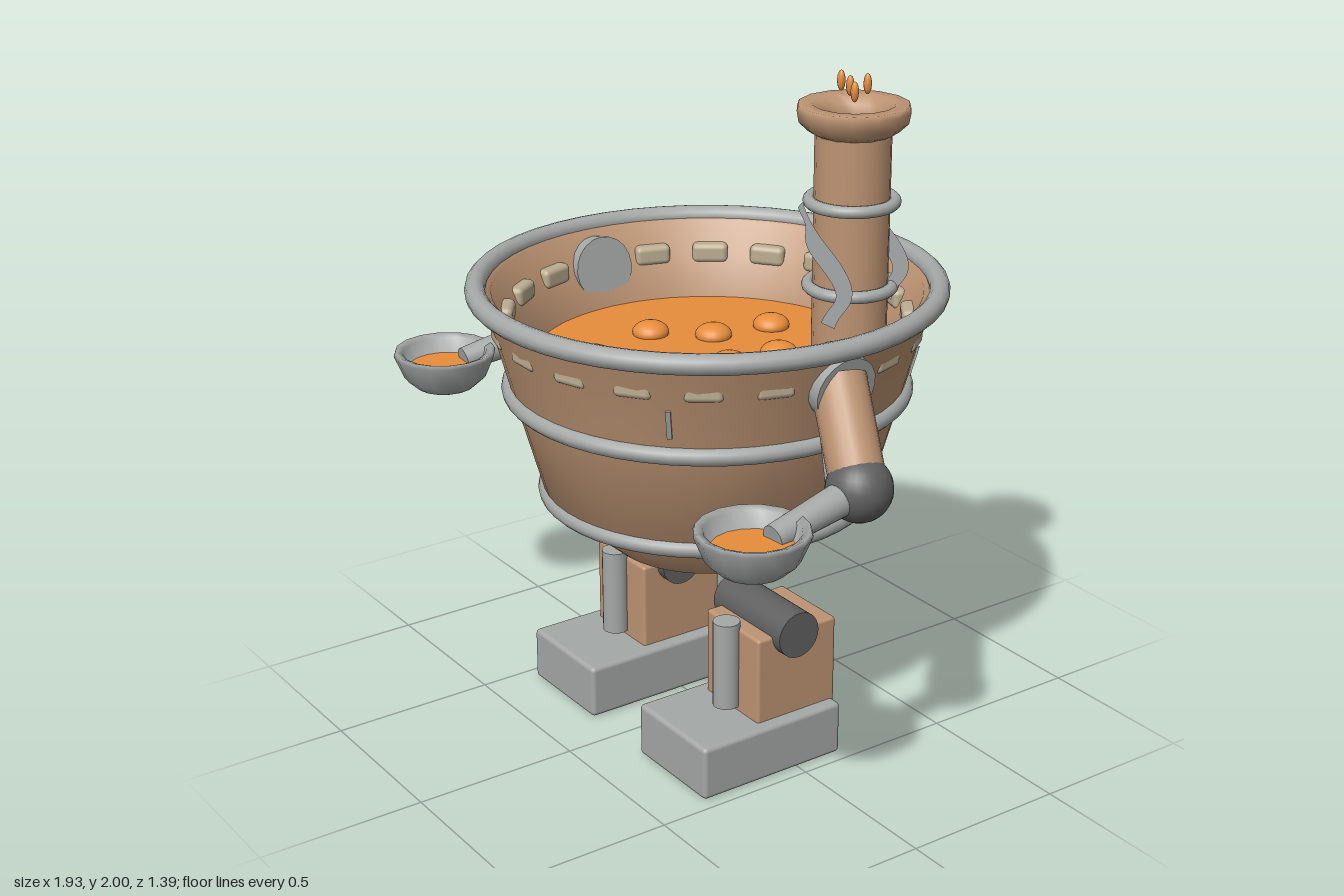
import * as THREE from 'three';
import { RoundedBoxGeometry } from 'three/addons/geometries/RoundedBoxGeometry.js';

const paint = (name, color, side = THREE.FrontSide) => {
  const m = new THREE.MeshStandardMaterial({ color, side });
  m.name = name;
  return m;
};
const V = (x, y, z) => new THREE.Vector3(x, y, z);

export function createModel() {
  const root = new THREE.Group();
  root.name = 'walkingCauldron';
  const clay = paint('clay brown', 0xbd9473);
  const metal = paint('metal grey', 0xa4a8a6);
  const dark = paint('dark joint grey', 0x606060);
  const soup = paint('soup orange', 0xe88e3d);
  const rivet = paint('rivet beige', 0xbcae92);
  const steam = paint('steam grey', 0xaaaeae, THREE.DoubleSide);

  const add = (parent, name, geo, mat, x = 0, y = 0, z = 0) => {
    const mesh = new THREE.Mesh(geo, mat);
    mesh.name = name;
    mesh.position.set(x, y, z);
    parent.add(mesh);
    return mesh;
  };
  const lathe = (pts, seg) => new THREE.LatheGeometry(pts.map(p => new THREE.Vector2(p[0], p[1])), seg);
  const ring = (parent, name, r, tube, y) => {
    const m = add(parent, name, new THREE.TorusGeometry(r, tube, 12, 48), metal, 0, y, 0);
    m.rotation.x = Math.PI / 2;
  };
  const disc = (parent, name, r, seg, y) => {
    const m = add(parent, name, new THREE.CircleGeometry(r, seg), soup, 0, y, 0);
    m.rotation.x = -Math.PI / 2;
  };
  // Cylinder running from point a to point b
  const rod = (parent, name, a, b, ra, rb, mat) => {
    const d = b.clone().sub(a);
    const m = add(parent, name, new THREE.CylinderGeometry(rb, ra, d.length(), 20), mat);
    m.position.copy(a).addScaledVector(d, 0.5);
    m.quaternion.setFromUnitVectors(V(0, 1, 0), d.normalize());
  };

  // Bowl: outer wall, inner wall and the open underside
  const bowl = new THREE.Group();
  bowl.name = 'bowl';
  root.add(bowl);
  add(bowl, 'bowlOuterWall', lathe([[0.29, 0.585], [0.48, 0.75], [0.57, 1.07], [0.61, 1.22], [0.66, 1.37]], 48), clay);
  add(bowl, 'bowlInnerWall', lathe([[0.66, 1.37], [0.62, 1.365], [0.575, 1.265], [0.505, 1.15], [0.43, 0.8], [0.22, 0.6]], 48), clay);
  add(bowl, 'bowlFoot', lathe([[0.22, 0.6], [0.22, 0.585], [0.29, 0.585]], 48), clay);
  ring(bowl, 'rimRing', 0.665, 0.03, 1.37);
  ring(bowl, 'middleRing', 0.573, 0.026, 1.07);
  ring(bowl, 'lowerRing', 0.474, 0.026, 0.75);

  // Studs piercing the wall under the rim, mostly showing inside
  for (let i = 0; i < 20; i++) {
    const a = (i / 20) * Math.PI * 2;
    const stud = add(bowl, 'wallStud', new RoundedBoxGeometry(0.11, 0.06, 0.07, 2, 0.016), rivet,
      Math.sin(a) * 0.592, 1.274, Math.cos(a) * 0.592);
    stud.rotation.y = a;
  }
  // Slim seams on the wall
  for (let i = 0; i < 4; i++) {
    const a = Math.PI / 4 + (i * Math.PI) / 2;
    const seam = add(bowl, 'wallSeam', new THREE.BoxGeometry(0.014, 0.09, 0.01), metal,
      Math.sin(a) * 0.598, 1.17, Math.cos(a) * 0.598);
    seam.rotation.set(0.26, a, 0, 'YXZ');
  }

  // Soup with bubbles
  disc(bowl, 'soupSurface', 0.508, 32, 1.153);
  const bubbles = [[-0.08, -0.29], [-0.11, -0.1], [-0.235, 0.04], [0.125, -0.165], [0.335, -0.125],
    [0.11, 0], [0.015, 0.17], [-0.155, 0.29], [0.22, 0.14]];
  bubbles.forEach(([x, z], i) => {
    const b = add(bowl, 'soupBubble', new THREE.SphereGeometry(0.055, 20, 12), soup, x, i === 8 ? 1.132 : 1.16, z);
    b.scale.y = 0.6;
  });

  // Chimney with flared mouth and sparks
  const chimney = new THREE.Group();
  chimney.name = 'chimney';
  chimney.position.set(0.245, 0, -0.327);
  root.add(chimney);
  add(chimney, 'chimneyPipe', new THREE.CylinderGeometry(0.109, 0.109, 0.76, 20, 1, true), clay, 0, 1.48, 0);
  add(chimney, 'chimneyMouth', lathe([[0.108, 1.815], [0.13, 1.826], [0.157, 1.852], [0.163, 1.885],
    [0.158, 1.9], [0.118, 1.9], [0.085, 1.875], [0.075, 1.84], [0.075, 1.7]], 14), clay);
  disc(chimney, 'chimneyGlow', 0.076, 16, 1.75);
  ring(chimney, 'chimneyUpperRing', 0.122, 0.018, 1.62);
  ring(chimney, 'chimneyLowerRing', 0.122, 0.018, 1.37);
  [[-0.023, 1.945, -0.003], [0.01, 1.935, 0.007], [0.035, 1.96, -0.018], [-0.007, 1.97, 0.042]].forEach(p => {
    add(chimney, 'spark', new THREE.SphereGeometry(0.012, 8, 6), soup, ...p).scale.y = 2.5;
  });

  // Curling steam ribbons, flat
  const curl = new THREE.Shape();
  curl.moveTo(0, 0.3);
  curl.bezierCurveTo(0.06, 0.2, 0.17, 0.2, 0.22, 0.12);
  curl.bezierCurveTo(0.24, 0.06, 0.17, 0.04, 0.15, -0.02);
  curl.lineTo(0.09, -0.02);
  curl.bezierCurveTo(0.12, 0.04, 0.18, 0.06, 0.14, 0.1);
  curl.bezierCurveTo(0.08, 0.15, 0.0, 0.16, 0.015, 0.22);
  curl.bezierCurveTo(0.02, 0.25, -0.01, 0.26, -0.02, 0.28);
  curl.closePath();
  const curlGeo = new THREE.ShapeGeometry(curl, 10);
  add(root, 'steamRibbon', curlGeo, steam, 0.39, 1.4, -0.04);
  add(root, 'steamRibbon', curlGeo, steam, 0.18, 1.35, -0.41);

  // Arms and legs, mirrored
  for (const s of [1, -1]) {
    const side = s > 0 ? 'left' : 'right';
    const arm = new THREE.Group();
    arm.name = side + 'Arm';
    root.add(arm);
    rod(arm, 'shoulderPlate', V(s * 0.545, 1.264, 0), V(s * 0.648, 1.244, 0), 0.098, 0.098, metal);
    const elbow = V(s * 0.78, 1.02, 0.055);
    rod(arm, 'upperArm', V(s * 0.61, 1.27, 0), elbow, 0.078, 0.078, clay);
    rod(arm, 'armPiston', V(s * 0.61, 1.21, 0.05), V(s * 0.7, 1.01, 0.085), 0.018, 0.018, metal);
    add(arm, 'elbow', new THREE.SphereGeometry(0.093, 24, 16), dark, ...elbow.toArray());
    rod(arm, 'forearm', elbow, V(s * 0.805, 0.965, 0.36), 0.05, 0.037, metal);
    const ladle = new THREE.Group();
    ladle.name = 'ladle';
    ladle.position.set(s * 0.807, 0, 0.425);
    arm.add(ladle);
    add(ladle, 'ladleCup', lathe([[0, 0.885], [0.09, 0.895], [0.128, 0.93], [0.157, 1.0], [0.152, 1.013],
      [0.13, 1.005], [0.105, 0.94], [0, 0.93]], 16), metal);
    disc(ladle, 'ladleSoup', 0.114, 16, 0.96);

    const leg = new THREE.Group();
    leg.name = side + 'Leg';
    leg.position.x = s * 0.295;
    root.add(leg);
    add(leg, 'foot', new RoundedBoxGeometry(0.335, 0.165, 0.49, 2, 0.014), metal, 0, 0.0825, 0.09);
    add(leg, 'shin', new RoundedBoxGeometry(0.258, 0.3, 0.28, 2, 0.01), clay, 0, 0.28, -0.02);
    add(leg, 'piston', new THREE.CylinderGeometry(0.04, 0.04, 0.27, 20), metal, 0, 0.315, 0.14);
    add(leg, 'hipAxle', new THREE.CylinderGeometry(0.07, 0.07, 0.325, 24), dark, 0, 0.43, 0).rotation.z = Math.PI / 2;
  }
  return root;
}
